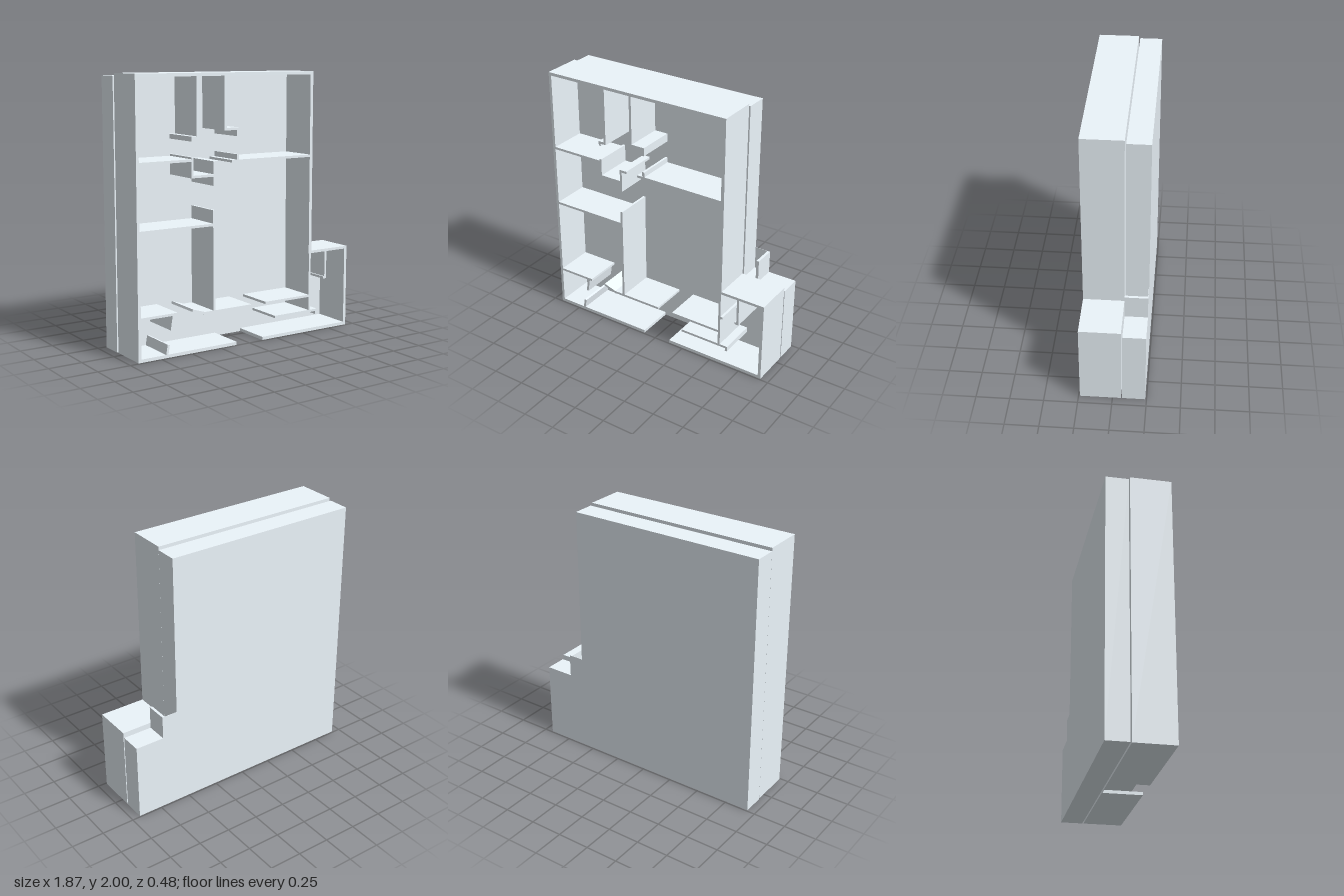
import * as THREE from 'three';

const T = 0.018; // partition thickness
const WALL_BACK = -0.062, WALL_FRONT = 0.24;
const BASE_BACK = -0.24, BASE_FRONT = -0.072;

export function createModel() {
  const model = new THREE.Group();
  model.name = 'floorPlanModel';
  const material = new THREE.MeshStandardMaterial({ color: 0xecf5fb, flatShading: true });

  // Extrude an outline in x, y between two depths
  function slab(name, points, z0, z1, parent = model) {
    const shape = new THREE.Shape(points.map(([x, y]) => new THREE.Vector2(x, y)));
    const geometry = new THREE.ExtrudeGeometry(shape, { depth: z1 - z0, bevelEnabled: false });
    geometry.translate(0, 0, z0);
    const mesh = new THREE.Mesh(geometry, material);
    mesh.name = name;
    parent.add(mesh);
  }

  // Partition along a centre line, one box per segment with overlapping corners
  function partition(name, path) {
    const group = new THREE.Group();
    group.name = name;
    const last = path.length - 2;
    for (let i = 0; i <= last; i++) {
      const a = new THREE.Vector2(...path[i]), b = new THREE.Vector2(...path[i + 1]);
      const dir = b.clone().sub(a).normalize();
      if (i > 0) a.addScaledVector(dir, -T / 2);
      if (i < last) b.addScaledVector(dir, T / 2);
      const mesh = new THREE.Mesh(
        new THREE.BoxGeometry(a.distanceTo(b), T, WALL_FRONT - WALL_BACK), material);
      mesh.position.set((a.x + b.x) / 2, (a.y + b.y) / 2, (WALL_FRONT + WALL_BACK) / 2);
      mesh.rotation.z = Math.atan2(dir.y, dir.x);
      mesh.name = name + 'Segment';
      group.add(mesh);
    }
    model.add(group);
  }

  // Base block with a recess at the step, closed by a thin back plate and a side wall
  const base = new THREE.Group();
  base.name = 'base';
  model.add(base);
  slab('baseBlock', [
    [-0.935, 0], [0.933, 0], [0.933, 0.6], [0.709, 0.6], [0.709, 0.777], [0.688, 0.777],
    [0.688, 0.6], [0.588, 0.6], [0.588, 1.98], [-0.935, 1.98],
  ], BASE_BACK, BASE_FRONT, base);
  slab('recessBackPlate', [[0.588, 0.6], [0.688, 0.6], [0.688, 0.777], [0.588, 0.777]],
    BASE_BACK, BASE_BACK + 0.003, base);

  // Floor closing the back of the rooms
  slab('floor', [[-0.93, 0], [0.933, 0], [0.933, 0.635], [0.582, 0.635], [0.582, 2], [-0.93, 2]],
    WALL_BACK, WALL_BACK + 0.004);

  // Outer wall, open at the entrance
  slab('outerWall', [
    [0.125, 0], [0.933, 0], [0.933, 0.635], [0.582, 0.635], [0.582, 2], [-0.93, 2], [-0.93, 0],
    [-0.108, 0], [-0.108, 0.024], [-0.908, 0.024], [-0.908, 1.977], [0.557, 1.977],
    [0.557, 0.615], [0.91, 0.615], [0.91, 0.024], [0.125, 0.024],
  ], WALL_BACK, WALL_FRONT);

  // Inner partitions
  const partitions = {
    upperLeftPartition: [[-0.437, 1.985], [-0.437, 1.551], [-0.482, 1.551], [-0.482, 1.525]],
    upperMiddlePartition: [[-0.203, 1.985], [-0.203, 1.599], [-0.097, 1.599], [-0.097, 1.545]],
    leftRoomPartition: [[-0.915, 1.392], [-0.482, 1.392]],
    closetPartition: [[-0.482, 1.415], [-0.482, 1.275], [-0.298, 1.275]],
    closetEndPartition: [[-0.247, 1.367], [-0.298, 1.367], [-0.298, 1.2]],
    rightRoomPartition: [[-0.15, 1.367], [0.565, 1.367]],
    doorStub: [[-0.096, 1.367], [-0.096, 1.415]],
    middleLeftPartition: [[-0.915, 0.919], [-0.302, 0.919]],
    centralPartition: [[-0.302, 1.025], [-0.302, 0.282]],
    lowerPartition: [[0.023, 0.281], [-0.385, 0.281], [-0.487, 0.314]],
    lowerRightPartition: [[0.152, 0.282], [0.565, 0.282]],
    lowerLeftPartition: [[-0.915, 0.309], [-0.613, 0.309]],
    upperSlantedPartition: [[-0.643, 0.305], [-0.661, 0.195]],
    lowerSlantedPartition: [[-0.687, 0.095], [-0.701, 0.015]],
    sideRoomPartition: [[0.569, 0.63], [0.569, 0.155]],
    sideRoomStub: [[0.57, 0.409], [0.597, 0.409]],
    storePartition: [[0.722, 0.625], [0.722, 0.409], [0.7, 0.409]],
    entryPartition: [[0.24, 0.161], [0.633, 0.161], [0.633, 0.13]],
  };
  for (const [name, path] of Object.entries(partitions)) partition(name, path);

  return model;
}
